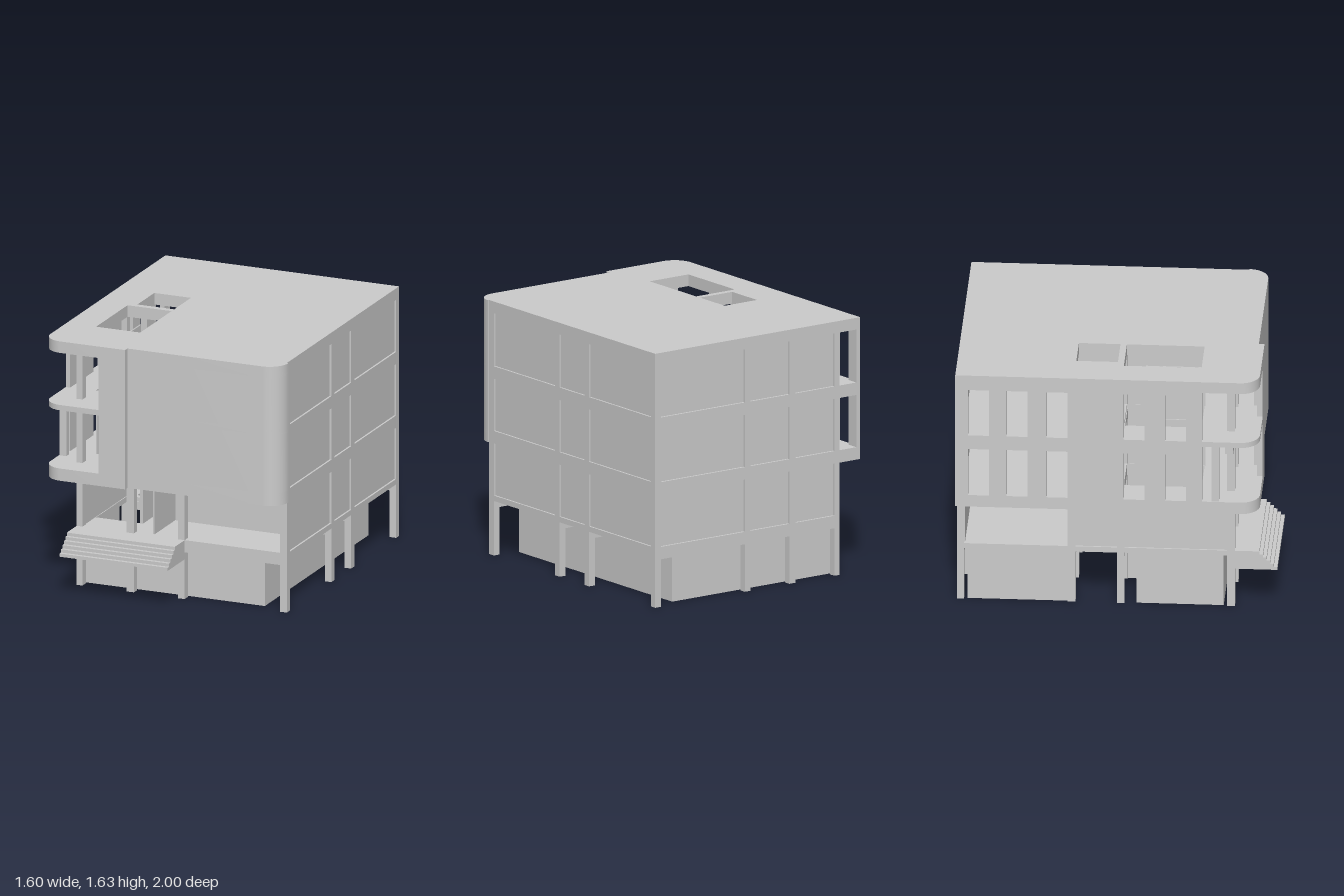
import * as THREE from 'three';
import { toCreasedNormals } from 'three/addons/utils/BufferGeometryUtils.js';

export function createModel() {
  const model = new THREE.Group();
  const mat = new THREE.MeshStandardMaterial({ color: 0xcccccc });

  const add = (name, geo) => {
    const mesh = new THREE.Mesh(geo, mat);
    mesh.name = name;
    model.add(mesh);
    return mesh;
  };

  // Box given by its limits on each axis
  const box = (name, x0, x1, y0, y1, z0, z1) =>
    add(name, new THREE.BoxGeometry(x1 - x0, y1 - y0, z1 - z0)
      .translate((x0 + x1) / 2, (y0 + y1) / 2, (z0 + z1) / 2));

  // Plan shape (x, z) raised from y0 to y1
  const plate = (name, shape, y0, y1) => {
    const geo = new THREE.ExtrudeGeometry(shape, { depth: y1 - y0, bevelEnabled: false, curveSegments: 10 });
    geo.rotateX(Math.PI / 2).translate(0, y1, 0);
    return add(name, toCreasedNormals(geo, 0.5));
  };

  const rectPath = (x0, x1, z0, z1) => new THREE.Path([
    new THREE.Vector2(x0, z0), new THREE.Vector2(x0, z1),
    new THREE.Vector2(x1, z1), new THREE.Vector2(x1, z0),
  ]);
  const wells = () => [rectPath(-0.55, -0.3, -0.26, 0), rectPath(-0.6, -0.3, 0.04, 0.525)];

  // Upper floor outline with rounded front corners and a stepped front
  const floorShape = () => {
    const s = new THREE.Shape();
    s.moveTo(-0.8, -1);
    s.lineTo(0.79, -1);
    s.lineTo(0.79, 0.735);
    s.lineTo(0.8, 0.735);
    s.absarc(0.675, 0.735, 0.125, 0, Math.PI / 2, false);
    s.lineTo(-0.24, 0.86);
    s.lineTo(-0.24, 0.895);
    s.lineTo(-0.68, 0.895);
    s.absarc(-0.68, 0.775, 0.12, Math.PI / 2, Math.PI, false);
    s.closePath();
    s.holes = wells();
    return s;
  };

  // Slabs
  plate('roof', floorShape(), 1.555, 1.63);
  plate('middleFloor', floorShape(), 1.18, 1.215);
  plate('lowerFloor', floorShape(), 0.72, 0.8);
  const terrace = new THREE.Shape([
    new THREE.Vector2(-0.64, -1), new THREE.Vector2(0.79, -1),
    new THREE.Vector2(0.79, 0.735), new THREE.Vector2(-0.64, 0.735),
  ]);
  terrace.holes = wells();
  plate('terraceFloor', terrace, 0.35, 0.385);

  // Curved front wall over the two upper storeys
  const front = new THREE.Shape();
  front.moveTo(-0.42, 0.895);
  front.lineTo(-0.42, 0.86);
  front.lineTo(-0.27, 0.86);
  front.lineTo(-0.27, 0.83);
  front.lineTo(0.675, 0.83);
  front.absarc(0.675, 0.735, 0.095, Math.PI / 2, 0, true);
  front.lineTo(0.8, 0.735);
  front.absarc(0.675, 0.735, 0.125, 0, Math.PI / 2, false);
  front.lineTo(-0.24, 0.86);
  front.lineTo(-0.24, 0.895);
  front.closePath();
  plate('frontWall', front, 0.72, 1.63);

  // Column grid
  const colX = [[-0.64, -0.6], [-0.3, -0.25], [0.05, 0.095], [0.745, 0.79]];
  const colZ = [[-1, -0.955], [-0.31, -0.26], [0, 0.045], [0.685, 0.735]];
  for (const [x0, x1] of colX)
    for (const [z0, z1] of colZ)
      box('column', x0, x1, 0, 1.6, z0, z1);

  // Beams along the column rows
  for (const [z0, z1] of colZ) {
    box('crossBeam', -0.64, 0.79, 0.305, 0.36, z0, z1);
    box('crossBeam', -0.8, 0.79, 1.135, 1.19, z0, z1);
  }
  box('sideBeam', 0.745, 0.79, 1.135, 1.19, -1, 0.735);

  // Recessed side and rear walls framed by columns and beams
  box('sideWall', 0.737, 0.778, 0.355, 1.6, -0.98, 0.72);
  box('rearWall', -0.62, 0.76, 0.355, 1.6, -0.985, -0.95);

  // Window screen standing off the side of the upper storeys
  const screen = new THREE.Shape([
    new THREE.Vector2(-1, 0.72), new THREE.Vector2(0.54, 0.72),
    new THREE.Vector2(0.54, 1.63), new THREE.Vector2(-1, 1.63),
  ]);
  for (const z of [-0.92, -0.68, -0.43, 0.05, 0.31])
    for (const [y0, y1] of [[0.8, 1.12], [1.215, 1.53]])
      screen.holes.push(rectPath(z, z + 0.13, y0, y1));
  const screenGeo = new THREE.ExtrudeGeometry(screen, { depth: 0.03, bevelEnabled: false });
  screenGeo.rotateY(-Math.PI / 2).translate(-0.77, 0, 0);
  add('windowScreen', screenGeo);
  box('balconyColumn', -0.795, -0.75, 0.78, 1.19, 0.6, 0.645);

  // Partitions around the light wells
  for (const x of [-0.6, -0.45]) box('wellPartition', x, x + 0.008, 0.8, 1.19, 0.17, 0.525);
  box('wellPartition', -0.458, -0.45, 1.2, 1.56, 0.17, 0.525);
  box('wellSideWall', -0.298, -0.28, 0.385, 1.56, -0.26, 0.53);

  // Entrance storey walls
  box('entranceSideWall', -0.63, -0.605, 0.385, 0.72, -0.28, 0.71);
  box('entranceBackWall', -0.13, 0.74, 0.385, 0.72, 0.36, 0.38);
  box('entrancePartition', -0.135, -0.125, 0.385, 0.72, 0.36, 0.7);

  // Ground storey walls
  const t = 0.012;
  box('groundSideWall', 0.61 - t, 0.61, 0, 0.36, -0.935, 0.665);
  box('groundRearWall', -0.62, 0.61, 0, 0.36, -0.935, -0.935 + t);
  box('groundFrontWall', -0.62, 0.61, 0, 0.36, 0.665 - t, 0.665);
  box('groundSideWall', -0.63, -0.63 + t, 0, 0.36, -0.935, -0.3);
  box('groundSideWall', -0.63, -0.63 + t, 0, 0.36, 0.12, 0.665);
  box('groundPartition', 0.06, 0.06 + t, 0, 0.36, -0.3, 0.3);
  box('groundPartition', -0.3, 0.06, 0, 0.36, 0.02, 0.02 + t);
  box('groundPartition', -0.29, -0.29 + t, 0, 0.36, 0.02, 0.4);

  // Front edge beam and entrance steps
  box('terraceEdge', -0.64, 0.79, 0.305, 0.385, 0.69, 0.735);
  const steps = new THREE.Shape();
  steps.moveTo(0.735, 0.26);
  steps.lineTo(1, 0.26);
  for (let i = 0; i < 6; i++) {
    const z = 1 - i * 0.0225, y = 0.281 + i * 0.0208;
    steps.lineTo(z, y);
    steps.lineTo(i < 5 ? z - 0.0225 : 0.735, y);
  }
  const stepGeo = new THREE.ExtrudeGeometry(steps, { depth: 0.735, bevelEnabled: false });
  stepGeo.rotateY(-Math.PI / 2).translate(0.095, 0, 0);
  add('entranceSteps', stepGeo);

  return model;
}
